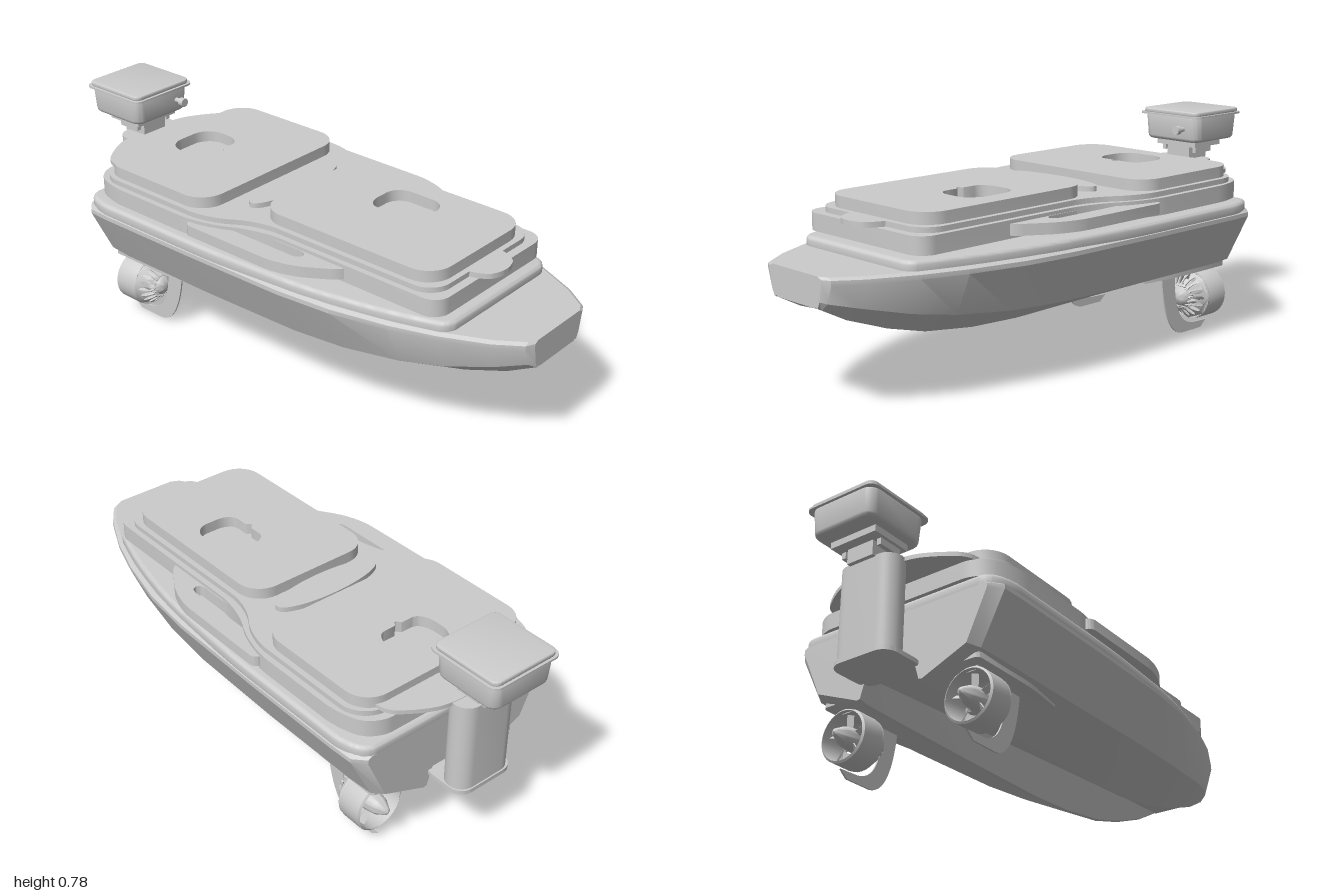
import * as THREE from 'three';
import { toCreasedNormals } from 'three/addons/utils/BufferGeometryUtils.js';

const grey = new THREE.MeshStandardMaterial({ color: 0xcccccc, side: THREE.DoubleSide });

function add(parent, name, geo, x = 0, y = 0, z = 0) {
  const m = new THREE.Mesh(geo, grey);
  m.name = name;
  m.position.set(x, y, z);
  parent.add(m);
  return m;
}

// Closed outline through corners [x, z, radius] with rounded corners
function outline(pts, Type = THREE.Shape) {
  const s = new Type(), n = pts.length;
  pts.forEach(([x, z, r = 0], i) => {
    const toward = ([px, pz]) => {
      const d = Math.hypot(px - x, pz - z), k = Math.min(r, d * 0.49) / d;
      return [x + (px - x) * k, z + (pz - z) * k];
    };
    const a = toward(pts[(i + n - 1) % n]), b = toward(pts[(i + 1) % n]);
    if (i) s.lineTo(...a); else s.moveTo(...a);
    const mid = [0, 1].map(k => x * 0.8 * (k === 0) + [x, z][k] * 0.8 * (k === 1) + (a[k] + b[k]) * 0.1);
    s.bezierCurveTo(a[0] + (x - a[0]) * 0.55, a[1] + (z - a[1]) * 0.55,
      b[0] + (x - b[0]) * 0.55, b[1] + (z - b[1]) * 0.55, ...b);
  });
  s.closePath();
  return s;
}
const rect = (x0, x1, z0, z1, r) => [[x0, z0, r], [x1, z0, r], [x1, z1, r], [x0, z1, r]];
// Mirrors a right-hand list of corners, front to back, into a full outline
const mirror = half => [...half, ...half.slice().reverse().map(([x, z, r]) => [-x, z, r])];

// Horizontal slab from y0 to y1, outline given in x and z
function slab(pts, y0, y1, bevel = 0, holes = []) {
  const s = outline(pts);
  s.holes = holes.map(h => outline(h, THREE.Path));
  const g = new THREE.ExtrudeGeometry(s, {
    depth: y1 - y0 - 2 * bevel, curveSegments: 8, bevelEnabled: bevel > 0,
    bevelSize: bevel, bevelThickness: bevel, bevelOffset: -bevel, bevelSegments: 3,
  });
  g.rotateX(Math.PI / 2).translate(0, y1 - bevel, 0);
  return toCreasedNormals(g, 0.6);
}

// Lathe about the z axis, profile as [radius, z]
const lathe = (pts, seg = 40) => toCreasedNormals(
  new THREE.LatheGeometry(pts.map(p => new THREE.Vector2(...p)), seg).rotateX(Math.PI / 2), 0.7);

// Twin-keel hull lofted through cross-sections
function buildHull(g) {
  // z, half width, chine x, chine y, keel x, keel y, tunnel roof y
  const stations = [
    [1.0, 0.13, 0.12, 0.38, 0.11, 0.358, 0.357],
    [0.985, 0.16, 0.14, 0.375, 0.11, 0.35, 0.356],
    [0.9, 0.22, 0.19, 0.355, 0.117, 0.305, 0.354],
    [0.75, 0.29, 0.245, 0.32, 0.125, 0.25, 0.35],
    [0.6, 0.34, 0.28, 0.295, 0.127, 0.21, 0.34],
    [0.4, 0.385, 0.31, 0.275, 0.127, 0.184, 0.33],
    [0.2, 0.405, 0.325, 0.266, 0.127, 0.175, 0.32],
    [-0.2, 0.413, 0.33, 0.26, 0.128, 0.18, 0.3],
    [-0.6, 0.415, 0.33, 0.26, 0.13, 0.19, 0.28],
    [-0.69, 0.412, 0.325, 0.262, 0.13, 0.193, 0.275],
    [-0.73, 0.375, 0.3, 0.27, 0.13, 0.2, 0.272],
  ];
  const section = ([, w, cx, cy, kx, ky, ty]) => {
    const half = [[0, 0.458], [w - 0.015, 0.458], [w, 0.45], [w, 0.435],
      [cx, cy], [kx, ky], [kx - 0.012, ky + 0.003], [0.097, ty], [0, ty]];
    return [...half, ...half.slice(1, -1).reverse().map(([x, y]) => [-x, y])];
  };
  const pos = [], idx = [], n = 16;
  stations.forEach((s, i) => {
    for (const [x, y] of section(s)) pos.push(x, y, s[0]);
    if (!i) return;
    for (let j = 0; j < n; j++) {
      const a = (i - 1) * n + j, b = (i - 1) * n + (j + 1) % n;
      idx.push(a, b, b + n, a, b + n, a + n);
    }
  });
  const geo = new THREE.BufferGeometry();
  geo.setAttribute('position', new THREE.Float32BufferAttribute(pos, 3));
  geo.setIndex(idx);
  add(g, 'hull', toCreasedNormals(geo, 0.4));
  const cap = s => new THREE.ShapeGeometry(new THREE.Shape(section(s).map(p => new THREE.Vector2(...p))));
  add(g, 'bowFace', cap(stations[0]), 0, 0, 1);
  add(g, 'transom', cap(stations[10]).rotateY(Math.PI), 0, 0, -0.73);
  add(g, 'raisedDeck', slab(mirror([[0.265, 0.78, 0.04], [0.33, 0.58, 0.1], [0.385, 0.3, 0.1],
    [0.41, -0.1, 0.1], [0.412, -0.66, 0.06], [0.37, -0.73, 0.03]]), 0.44, 0.49, 0.014));
}

// Covers, lids and side grips on the deck
function buildCovers(g) {
  add(g, 'cover', slab(mirror([[0.29, 0.75, 0.06], [0.29, 0.02, 0.1], [0.39, -0.16, 0.1],
    [0.39, -0.62, 0.08], [0.33, -0.72, 0.06]]), 0.502, 0.562));
  add(g, 'coverStep', slab(mirror([[0.27, 0.72, 0.08], [0.27, 0.0, 0.08], [0.37, -0.15, 0.08],
    [0.37, -0.69, 0.1]]), 0.562, 0.58));
  add(g, 'pullTab', slab(mirror([[0.1, 0.68, 0], [0.08, 0.76, 0.05], [0.04, 0.797, 0.05]]), 0.562, 0.58));
  add(g, 'frontLid', slab(rect(-0.25, 0.25, -0.02, 0.7, 0.09), 0.58, 0.62, 0,
    [[[0.005, 0.23, 0.06], [0.17, 0.23, 0.06], [0.17, 0.44, 0.06], [0.005, 0.44, 0.06],
      [0.005, 0.35, 0.005], [-0.015, 0.335, 0.008], [0.005, 0.32, 0.005]]]));
  add(g, 'rearLid', slab(rect(-0.35, 0.35, -0.68, -0.18, 0.09), 0.58, 0.62, 0,
    [[[-0.105, -0.61, 0.07], [0.1, -0.61, 0.07], [0.1, -0.44, 0.07], [0.01, -0.44, 0.005],
      [-0.005, -0.42, 0.008], [-0.02, -0.44, 0.005], [-0.105, -0.44, 0.07]]]));
  add(g, 'middlePad', new THREE.CylinderGeometry(1, 1, 0.02, 40).scale(0.215, 1, 0.06), 0, 0.588, -0.09);
  for (const s of [1, -1]) {
    add(g, 'sideGrip', slab([[0.28, 0.39, 0], [0.31, 0.37, 0.02], [0.405, 0.22, 0.08], [0.408, -0.22, 0.03],
      [0.28, -0.22, 0]].map(([x, z, r]) => [s * x, z, r]), 0.512, 0.55, 0,
    [rect(s * 0.293, s * 0.335, -0.08, 0.23, 0.03)]));
  }
}

// Rear column carrying the instrument box
function buildMast(g) {
  add(g, 'topBracket', slab(mirror([[0.3, -0.66, 0], [0.29, -0.72, 0.03], [0.2, -0.785, 0.05],
    [0.12, -0.815, 0.05]]), 0.577, 0.592));
  add(g, 'column', slab(rect(-0.115, 0.115, -0.875, -0.77, 0.052), 0.255, 0.59));
  add(g, 'columnFoot', slab(rect(-0.12, 0.12, -0.88, -0.7, 0.05), 0.25, 0.265));
  add(g, 'columnCap', new THREE.BoxGeometry(0.105, 0.06, 0.1), 0, 0.615, -0.84);
  add(g, 'boxBracket', new THREE.BoxGeometry(0.185, 0.025, 0.15), 0, 0.65, -0.85);
  for (const s of [1, -1]) add(g, 'bracketFoot', new THREE.BoxGeometry(0.016, 0.035, 0.09), s * 0.073, 0.632, -0.84);
  const body = slab(rect(-0.132, 0.132, -0.992, -0.732, 0.04), 0.66, 0.765, 0.014);
  const p = body.attributes.position;
  for (let i = 0; i < p.count; i++) {
    const k = 1 - (0.765 - p.getY(i)) * 0.5;
    p.setX(i, p.getX(i) * k);
    p.setZ(i, -0.862 + (p.getZ(i) + 0.862) * k);
  }
  add(g, 'instrumentBox', toCreasedNormals(body, 0.6));
  add(g, 'boxRim', slab(rect(-0.142, 0.142, -1, -0.72, 0.03), 0.755, 0.762));
  add(g, 'boxLid', slab(rect(-0.132, 0.132, -0.992, -0.73, 0.025), 0.76, 0.777, 0.004));
  add(g, 'boxKnob', new THREE.CylinderGeometry(0.016, 0.016, 0.02, 24).rotateX(Math.PI / 2), 0.065, 0.71, -0.7);
  add(g, 'knobStem', new THREE.CylinderGeometry(0.009, 0.009, 0.05, 16).rotateX(Math.PI / 2), 0.065, 0.71, -0.73);
}

// Ducted thruster with slotted guard, propeller and keel fin; origin on its axis
function buildThruster(side) {
  const t = new THREE.Group();
  t.name = side > 0 ? 'leftThruster' : 'rightThruster';
  add(t, 'duct', lathe([[0.086, -0.66], [0.093, -0.655], [0.093, -0.575], [0.088, -0.56], [0.083, -0.565], [0.086, -0.66]]));
  // Slotted guard, coned forward toward the hub
  const disc = new THREE.Shape().absarc(0, 0, 0.091, 0, Math.PI * 2);
  for (let i = 0; i < 18; i++) {
    const a = i / 18 * Math.PI * 2;
    disc.holes.push(new THREE.Path().absellipse(Math.cos(a) * 0.062, Math.sin(a) * 0.062, 0.018, 0.0075, 0, Math.PI * 2, false, a));
  }
  const guard = new THREE.ExtrudeGeometry(disc, { depth: 0.008, bevelEnabled: false, curveSegments: 16 });
  const p = guard.attributes.position;
  for (let i = 0; i < p.count; i++) {
    const r = Math.hypot(p.getX(i), p.getY(i));
    p.setZ(i, p.getZ(i) - 0.57 + (0.091 - r) * 1.1);
  }
  add(t, 'guard', toCreasedNormals(guard, 0.5));
  add(t, 'hub', lathe([[0, -0.7], [0.012, -0.693], [0.03, -0.66], [0.038, -0.62], [0.04, -0.53], [0.034, -0.508], [0.02, -0.495], [0, -0.49]]));
  for (let i = 0; i < 5; i++) {
    const blade = add(t, 'propellerBlade', new THREE.BoxGeometry(0.022, 0.05, 0.004).rotateY(0.8).translate(0, 0.058, 0), 0, 0, -0.625);
    blade.rotation.z = i / 5 * Math.PI * 2;
  }
  add(t, 'strut', new THREE.BoxGeometry(0.05, 0.035, 0.09), 0, 0.1, -0.6);
  const fin = new THREE.Shape().moveTo(-0.4, 0.115);
  fin.bezierCurveTo(-0.41, 0, -0.44, -0.13, -0.52, -0.14);
  fin.lineTo(-0.63, -0.14).lineTo(-0.66, -0.115).lineTo(-0.58, -0.112);
  fin.bezierCurveTo(-0.51, -0.1, -0.47, -0.04, -0.475, 0.115);
  const finGeo = new THREE.ExtrudeGeometry(fin, { depth: 0.006, bevelEnabled: false, curveSegments: 16 });
  add(t, 'fin', toCreasedNormals(finGeo.rotateY(-Math.PI / 2), 0.5), 0.003);
  add(t, 'mountPlate', slab([[-0.02, -0.25, 0.02], [0.04, -0.25, 0.02], [0.062, -0.42, 0.03],
    [0.062, -0.69, 0.02], [-0.055, -0.69, 0.02], [-0.055, -0.42, 0.03]], 0.098, 0.13));
  t.position.set(side * 0.253, 0.14, 0);
  if (side < 0) t.children.at(-1).geometry = slab([[0.02, -0.25, 0.02], [-0.04, -0.25, 0.02], [-0.062, -0.42, 0.03],
    [-0.062, -0.69, 0.02], [0.055, -0.69, 0.02], [0.055, -0.42, 0.03]], 0.098, 0.13);
  return t;
}

export function createModel() {
  const g = new THREE.Group();
  g.name = 'surveyBoat';
  buildHull(g);
  buildCovers(g);
  buildMast(g);
  for (const s of [1, -1]) g.add(buildThruster(s));
  return g;
}
